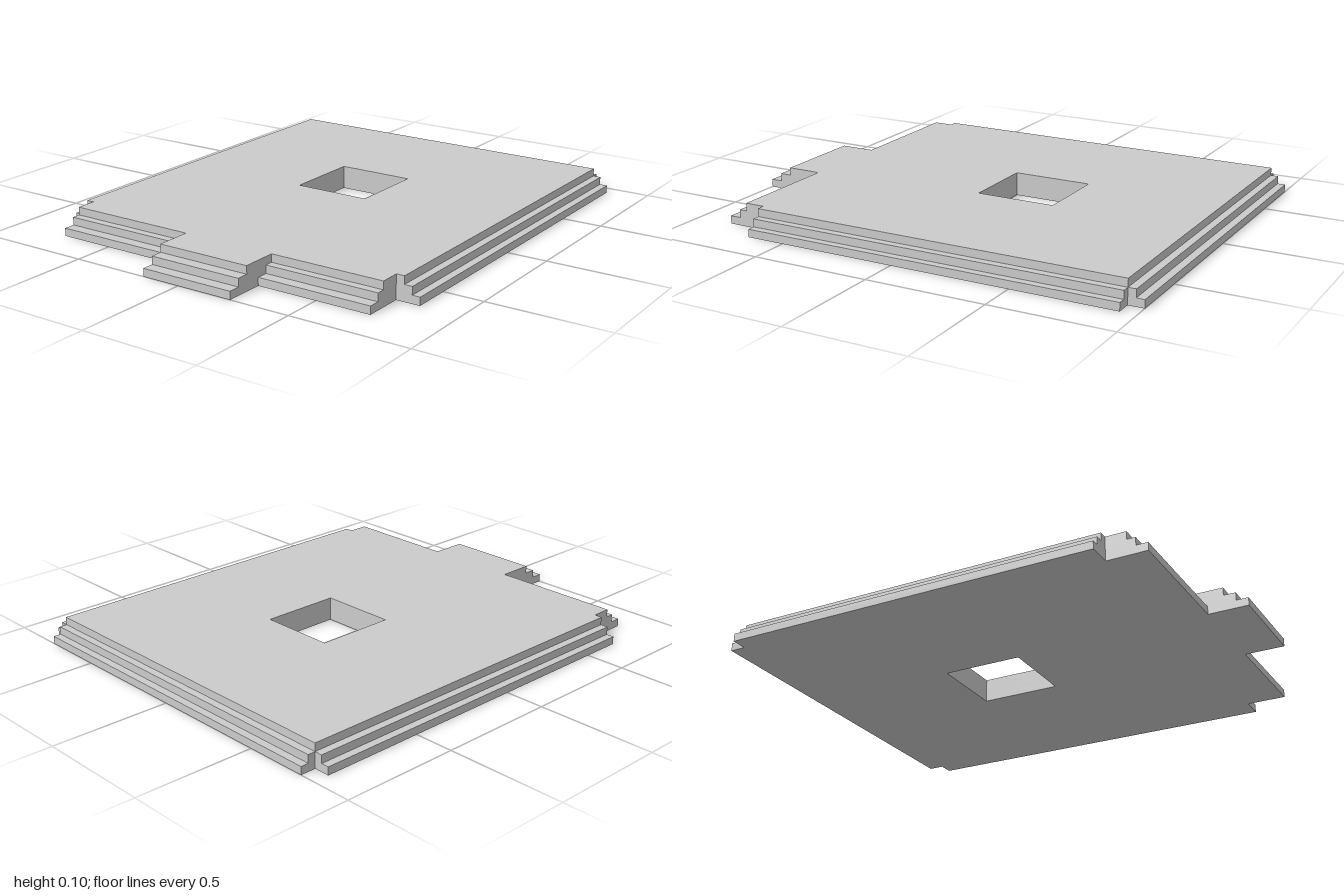
import * as THREE from 'three';

const HEIGHT = 0.1;
const TIER = HEIGHT / 3;

// Reach of each edge per tier, bottom to top
const TIERS = [
  { name: 'bottomTier', side: 0.833, back: -1.0, front: 0.833, tongue: 1.0 },
  { name: 'middleTier', side: 0.8, back: -0.967, front: 0.785, tongue: 0.95 },
  { name: 'topTier', side: 0.767, back: -0.935, front: 0.75, tongue: 0.9 },
];

// Polygon from [x, z] corners, laid out so that it can be turned flat
const points = (corners) => corners.map(([x, z]) => new THREE.Vector2(x, -z));

// One full outline with notched corners, front tongue and square opening
function tierGeometry({ side, back, front, tongue }) {
  const backX = 0.767, backZ = -0.935; // back notches
  const frontX = 0.733, frontZ = 0.665; // front notches
  const tongueL = -0.167, tongueR = 0.243;

  const outline = [
    [-frontX, front], [tongueL, front], [tongueL, tongue],
    [tongueR, tongue], [tongueR, front], [frontX, front],
    [frontX, frontZ], [side, frontZ],
  ];
  // The top tier is flush with the notches, so its back is a plain edge
  if (back < backZ) {
    outline.push([side, backZ], [backX, backZ], [backX, back],
      [-backX, back], [-backX, backZ], [-side, backZ]);
  } else {
    outline.push([side, back], [-side, back]);
  }
  outline.push([-side, frontZ], [-frontX, frontZ]);

  const shape = new THREE.Shape(points(outline));
  const hole = [[-0.167, -0.34], [0.165, -0.34], [0.165, 0], [-0.167, 0]];
  shape.holes.push(new THREE.Path(points(hole)));

  const geometry = new THREE.ExtrudeGeometry(shape, { depth: TIER, bevelEnabled: false });
  return geometry.rotateX(-Math.PI / 2);
}

export function createModel() {
  const group = new THREE.Group();
  group.name = 'steppedPlatform';
  const material = new THREE.MeshStandardMaterial({ color: 0xcccccc, flatShading: true });

  // Stacked tiers form the steps along every edge
  TIERS.forEach((tier, i) => {
    const mesh = new THREE.Mesh(tierGeometry(tier), material);
    mesh.name = tier.name;
    mesh.position.y = i * TIER;
    group.add(mesh);
  });
  return group;
}
